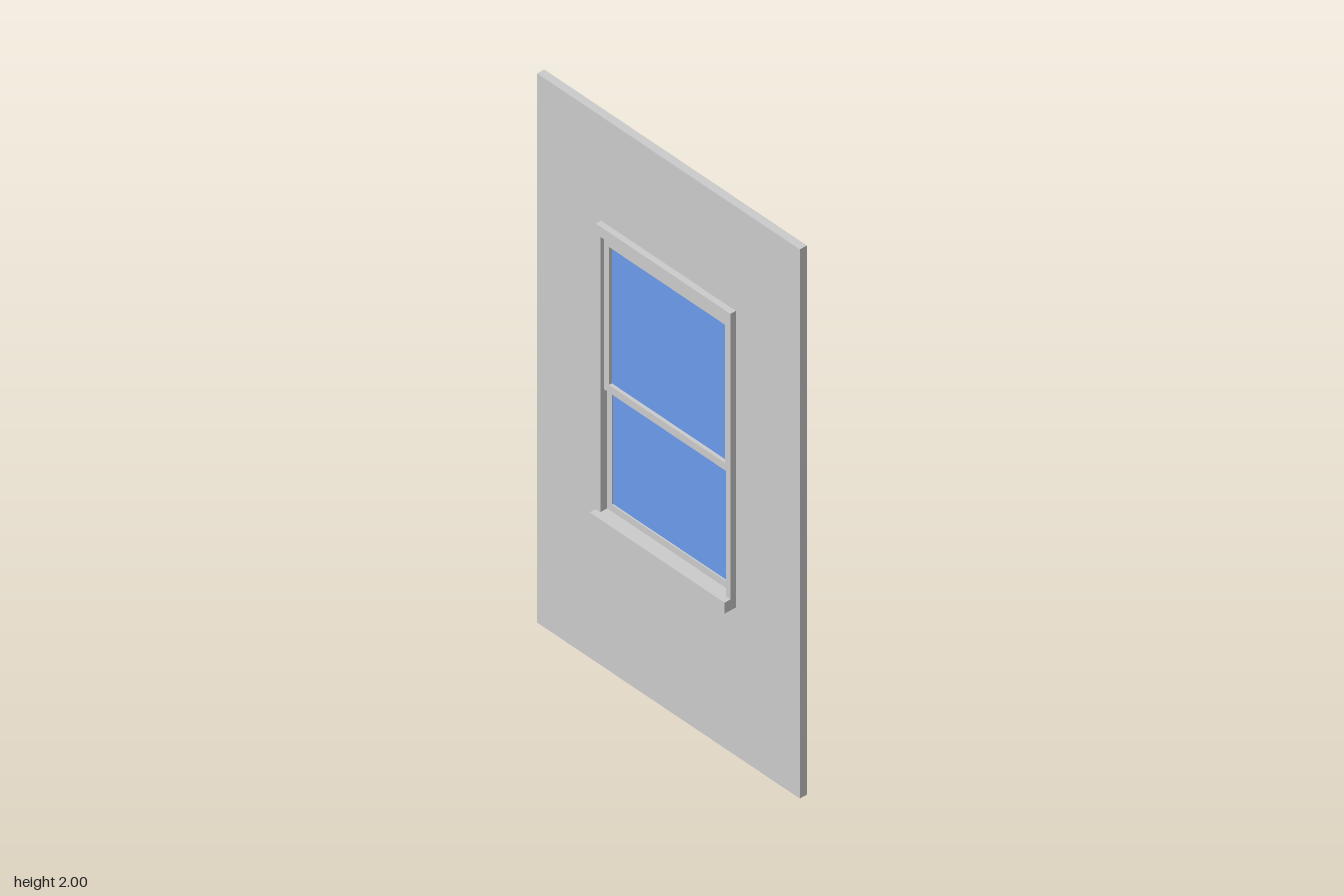
import * as THREE from 'three';

const grey = new THREE.MeshStandardMaterial({ color: 0xcccccc });
const blue = new THREE.MeshStandardMaterial({ color: 0x6a9bec });

// Rectangular panel with a rectangular opening, centred on z = 0.
// Rectangles are [half width, bottom, top].
function ring(name, [w, y0, y1], [hw, h0, h1], depth) {
  const shape = new THREE.Shape([
    new THREE.Vector2(-w, y0), new THREE.Vector2(w, y0),
    new THREE.Vector2(w, y1), new THREE.Vector2(-w, y1),
  ]);
  shape.holes.push(new THREE.Path([
    new THREE.Vector2(-hw, h0), new THREE.Vector2(-hw, h1),
    new THREE.Vector2(hw, h1), new THREE.Vector2(hw, h0),
  ]));
  const geo = new THREE.ExtrudeGeometry(shape, { depth, bevelEnabled: false });
  geo.translate(0, 0, -depth / 2);
  const mesh = new THREE.Mesh(geo, grey);
  mesh.name = name;
  return mesh;
}

function slab(name, [w, y0, y1], depth, material = grey) {
  const mesh = new THREE.Mesh(new THREE.BoxGeometry(2 * w, y1 - y0, depth), material);
  mesh.position.y = (y0 + y1) / 2;
  mesh.name = name;
  return mesh;
}

// Sash frame with its pane
function sash(name, outer, inner, depth, paneDepth) {
  const group = new THREE.Group();
  group.name = name;
  group.add(ring(name + 'Frame', outer, inner, depth));
  group.add(slab(name + 'Glass', inner, paneDepth, blue));
  return group;
}

export function createModel() {
  const model = new THREE.Group();
  model.name = 'windowWall';
  const opening = [0.27, 0.58, 1.583];

  // Wall panel with the window opening
  model.add(ring('wall', [0.565, 0, 2], opening, 0.028));

  // Casing: two jambs and a head, standing proud on both faces
  const casing = new THREE.Group();
  casing.name = 'casing';
  for (const side of [-1, 1]) {
    const jamb = slab('jamb', [0.01, 0.58, 1.583], 0.07);
    jamb.position.x = side * 0.28;
    casing.add(jamb);
  }
  casing.add(slab('head', [0.29, 1.583, 1.62], 0.07));
  model.add(casing);

  // Sill projecting on both faces
  model.add(slab('sill', [0.29, 0.54, 0.58], 0.116));

  // Upper sash is thicker; lower sash sits recessed
  model.add(sash('upperSash', [0.27, 1.02, 1.583], [0.25, 1.047, 1.55], 0.04, 0.016));
  model.add(sash('lowerSash', [0.27, 0.58, 1.04], [0.25, 0.605, 1.02], 0.016, 0.006));

  return model;
}
